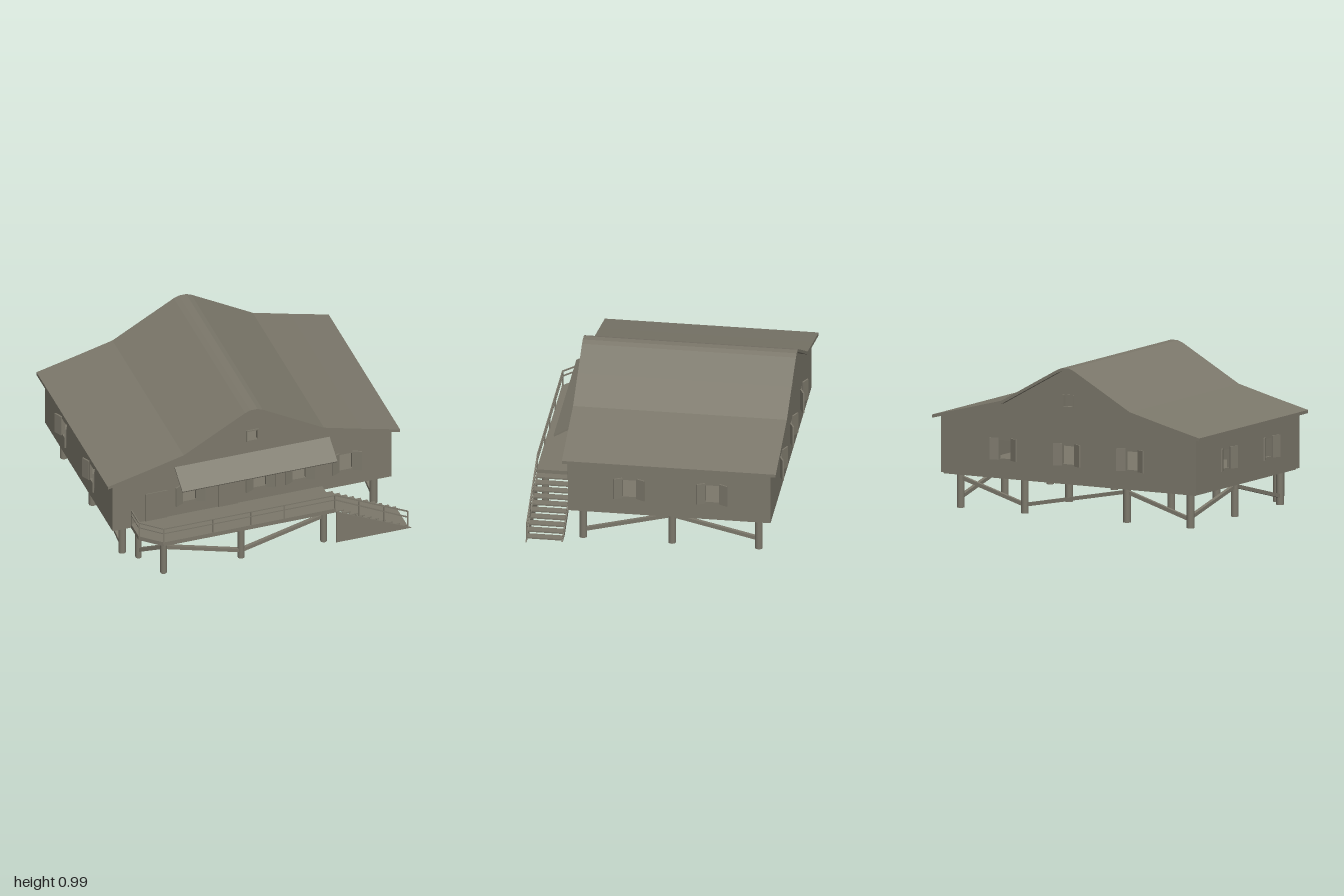
import * as THREE from 'three';

const wood = new THREE.MeshStandardMaterial({ color: 0x7c786b });
wood.name = 'weatheredWood';

const V = (x, y, z) => new THREE.Vector3(x, y, z);

function add(parent, name, geometry) {
  const mesh = new THREE.Mesh(geometry, wood);
  mesh.name = name;
  parent.add(mesh);
  return mesh;
}

function group(parent, name) {
  const g = new THREE.Group();
  g.name = name;
  parent.add(g);
  return g;
}

// Box given by its minimum and maximum corners
function box(parent, name, a, b) {
  const mesh = add(parent, name, new THREE.BoxGeometry(b[0] - a[0], b[1] - a[1], b[2] - a[2]));
  mesh.position.set((a[0] + b[0]) / 2, (a[1] + b[1]) / 2, (a[2] + b[2]) / 2);
  return mesh;
}

// Square beam between two points
function beam(parent, name, a, b, w) {
  const mesh = add(parent, name, new THREE.BoxGeometry(w, w, a.distanceTo(b)));
  mesh.position.copy(a).add(b).multiplyScalar(0.5);
  mesh.lookAt(b);
  return mesh;
}

// Outline with rectangular holes [x0, x1, y0, y1], extruded along z
function slab(points, holes, depth) {
  const toPts = (list) => list.map(([x, y]) => new THREE.Vector2(x, y));
  const shape = new THREE.Shape(toPts(points));
  for (const [x0, x1, y0, y1] of holes) {
    shape.holes.push(new THREE.Path(toPts([[x0, y0], [x0, y1], [x1, y1], [x1, y0]])));
  }
  return new THREE.ExtrudeGeometry(shape, { depth, bevelEnabled: false });
}

// Pair of half-open shutters and a frame, in a plane facing +z
function shutteredWindow(parent, x, y, z, turn) {
  const g = group(parent, 'shutteredWindow');
  g.position.set(x, y, z);
  g.rotation.y = turn;
  for (const s of [-1, 1]) {
    const shutter = add(g, 'shutter', new THREE.BoxGeometry(0.06, 0.145, 0.01));
    shutter.position.set(s * 0.074, 0, 0.016);
    shutter.rotation.y = -s * 0.45;
  }
  return g;
}

const WX = 0.955, ZF = 0.54, ZB = -0.78, Y0 = 0.235, T = 0.02;
const hole = (c) => [c - 0.045, c + 0.045, 0.36, 0.48];

export function createModel() {
  const model = new THREE.Group();
  model.name = 'stiltHouse';

  // Gable walls, open at the windows
  const house = group(model, 'house');
  const gable = [[-WX, Y0], [WX, Y0], [WX, 0.605], [0.475, 0.728], [0.04, 0.972],
    [-0.04, 0.972], [-0.475, 0.728], [-WX, 0.605]];
  const attic = [-0.034, 0.034, 0.738, 0.808];
  const frontX = [-0.43, 0.05, 0.32, 0.64], backX = [-0.475, 0, 0.475], sideZ = [0.14, -0.4];
  add(house, 'frontWall', slab(gable, [attic, ...frontX.map(hole)], T)).position.z = ZF - T;
  add(house, 'backWall', slab(gable, [attic, ...backX.map(hole)], T)).position.z = ZB;
  frontX.forEach((x) => shutteredWindow(house, x, 0.423, ZF, 0));
  backX.forEach((x) => shutteredWindow(house, x, 0.423, ZB, Math.PI));

  // Side walls
  const sideWall = [[ZB + T, Y0], [ZF - T, Y0], [ZF - T, 0.605], [ZB + T, 0.605]];
  for (const s of [-1, 1]) {
    const wall = add(house, 'sideWall', slab(sideWall.map(([z, y]) => [-z, y]).reverse(),
      sideZ.map((z) => hole(-z)), T));
    wall.rotation.y = Math.PI / 2;
    wall.position.x = s > 0 ? WX - T : -WX;
    sideZ.forEach((z) => shutteredWindow(house, s * WX, 0.423, z, s * Math.PI / 2));
  }
  box(house, 'floor', [-0.94, 0.226, ZB + 0.015], [0.94, 0.25, ZF - 0.015]);

  // Attic window frames
  for (const z of [ZF, ZB]) {
    const frame = slab([[-0.042, 0.73], [0.042, 0.73], [0.042, 0.816], [-0.042, 0.816]], [attic], 0.016);
    add(house, 'atticFrame', frame).position.z = z - 0.008;
  }

  // Doors
  box(house, 'door', [-0.73, 0.25, ZF], [-0.58, 0.475, ZF + 0.006]);
  box(house, 'door', [-0.23, 0.25, ZF], [-0.1, 0.495, ZF + 0.006]);

  // Bent roof with a rounded ridge
  const half = [[1, 0.613], [0.74, 0.677], [0.48, 0.744], [0.26, 0.868], [0.06, 0.98], [0.025, 0.993]];
  const top = [...half, ...half.map(([x, y]) => [-x, y]).reverse()];
  const under = top.map(([x, y]) => [x, y - 0.021]).reverse();
  add(house, 'roof', slab([...top, ...under], [], 1.395)).position.z = -0.82;

  // Awning with brackets
  const awning = group(model, 'awning');
  const pitch = slab([[0.54, 0.628], [0.69, 0.538], [0.695, 0.547], [0.54, 0.64]], [], 1.06);
  const sheet = add(awning, 'awningSheet', pitch);
  sheet.rotation.y = -Math.PI / 2;
  sheet.position.x = 0.53;
  for (const x of [-0.25, 0.185]) {
    beam(awning, 'awningBar', V(x, 0.55, 0.53), V(x, 0.55, 0.68), 0.008);
    beam(awning, 'awningStrut', V(x, 0.518, 0.53), V(x, 0.545, 0.68), 0.008);
  }

  // Piles under the house and the deck
  const piles = group(model, 'piles');
  const pile = (x, z, r = 0.025) => {
    add(piles, 'pile', new THREE.CylinderGeometry(r, r, 0.235, 12)).position.set(x, 0.1175, z);
  };
  const PX = [-0.86, -0.385, 0.38, 0.86], PZ = [-0.69, -0.125, 0.455];
  for (const x of PX) for (const z of PZ) pile(x, z);
  [-0.685, -0.155, 0.41].forEach((x) => pile(x, 0.765, 0.022));
  pile(-0.78, 0.545, 0.021);

  // Zigzag braces between piles
  const braces = group(model, 'braces');
  const zigzag = (pts) => {
    for (let i = 1; i < pts.length; i++) beam(braces, 'brace', V(...pts[i - 1]), V(...pts[i]), 0.024);
  };
  const LO = 0.055, HI = 0.2;
  zigzag([[-0.86, LO, -0.69], [-0.385, HI, -0.69], [0.38, LO, -0.69], [0.86, HI, -0.69]]);
  for (const x of [-0.86, 0.86]) zigzag([[x, LO, 0.455], [x, HI, -0.125], [x, 0.07, -0.69]]);
  zigzag([[-0.78, LO, 0.545], [-0.685, HI, 0.765], [-0.155, LO, 0.765], [0.41, HI, 0.765]]);

  // Deck with a cut corner
  const deck = group(model, 'deck');
  const edge = [[-0.83, 0.53], [-0.83, 0.69], [-0.7, 0.812], [0.48, 0.812], [0.48, 0.53]];
  const boards = add(deck, 'deckFloor', slab(edge, [], 0.03));
  boards.rotation.x = Math.PI / 2;
  boards.position.y = 0.265;

  // Deck railing
  const railing = group(model, 'railing');
  const R = 0.008;
  const path = [[-0.826, 0.545], [-0.826, 0.69], [-0.7, 0.808], [0.472, 0.808]];
  for (const y of [0.333, 0.368]) {
    for (let i = 1; i < path.length; i++) {
      beam(railing, 'rail', V(path[i - 1][0], y, path[i - 1][1]), V(path[i][0], y, path[i][1]), R);
    }
  }
  for (const [x, z] of [...path, [-0.36, 0.808], [-0.1, 0.808], [0.125, 0.808]]) {
    beam(railing, 'railPost', V(x, 0.25, z), V(x, 0.37, z), R);
  }

  // Staircase: treads, side panel, inner stringer and sloping rails
  const stairs = group(model, 'stairs');
  const N = 10;
  for (let i = 0; i < N; i++) {
    const x = 0.48 + i * 0.048, y = 0.24 - i * 0.024;
    box(stairs, 'tread', [x, y - 0.01, 0.58], [x + 0.055, y, 0.806]);
  }
  add(stairs, 'sidePanel', slab([[0.48, 0], [0.995, 0], [0.48, 0.24]], [], 0.008)).position.z = 0.806;
  add(stairs, 'innerStringer', slab([[0.48, 0.18], [0.87, 0], [0.96, 0], [0.48, 0.23]], [], 0.01))
    .position.z = 0.575;
  for (const [y0, y1] of [[0.368, 0.13], [0.333, 0.085]]) {
    beam(stairs, 'stairRail', V(0.472, y0, 0.808), V(0.97, y1, 0.808), R);
  }
  for (const [x, y0, y1] of [[0.64, 0.15, 0.288], [0.81, 0.07, 0.207], [0.97, 0.01, 0.134]]) {
    beam(stairs, 'stairPost', V(x, y0, 0.808), V(x, y1, 0.808), R);
  }

  return model;
}
